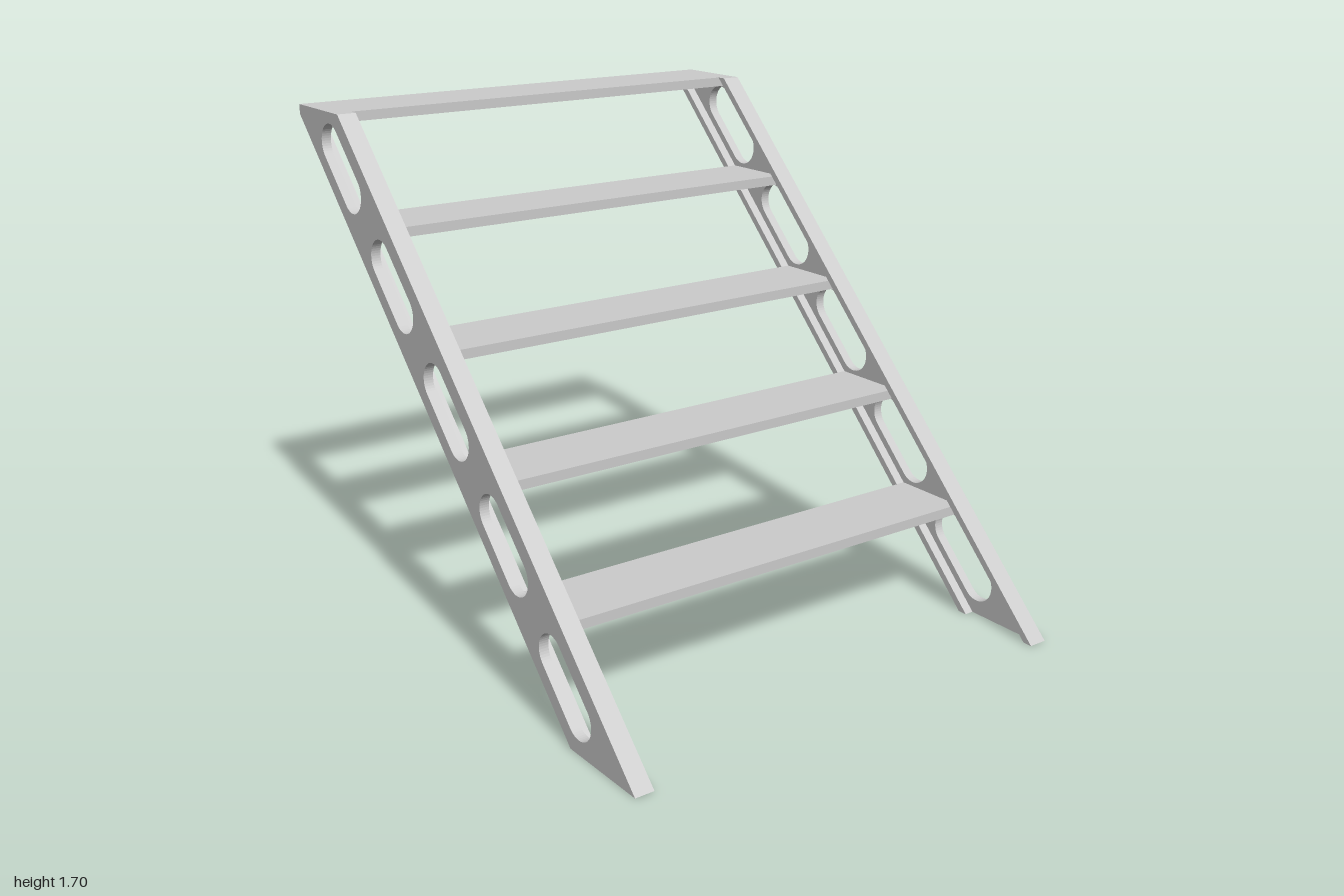
import * as THREE from 'three';

const U = 1 / 30;           // plate thickness, the module of the whole staircase
const STEPS = 5;
const RISE = 10 * U;
const HALF_W = 25 * U;      // outer half width
const HEIGHT = 51 * U;

const material = new THREE.MeshStandardMaterial({ color: 0xcccccc, flatShading: true });

// Extrudes a side profile (z, y) sideways so that it fills x0..x1
function extrudeAcross(shape, x0, x1) {
  const geometry = new THREE.ExtrudeGeometry(shape, {
    depth: x1 - x0, bevelEnabled: false, curveSegments: 12,
  });
  geometry.rotateY(-Math.PI / 2);
  geometry.translate(x1, 0, 0);
  return geometry;
}

function polygon(points) {
  return new THREE.Shape(points.map(([z, y]) => new THREE.Vector2(z, y)));
}

// Slot with round ends, lying along the 45 degree slope
function slot(z, y, length, r) {
  const path = new THREE.Path();
  path.absarc(z, y, r, Math.PI * 0.25, Math.PI * 1.25, true);
  path.absarc(z - length, y + length, r, Math.PI * 1.25, Math.PI * 0.25, true);
  path.closePath();
  return path;
}

function addMesh(parent, name, geometry) {
  const mesh = new THREE.Mesh(geometry, material);
  mesh.name = name;
  parent.add(mesh);
}

// Channel-section side beam, open towards the steps
function createStringer(side) {
  const group = new THREE.Group();
  group.name = side > 0 ? 'leftStringer' : 'rightStringer';
  const span = (a, b) => (side > 0 ? [a, b] : [-b, -a]);

  // Slotted web
  const web = polygon([
    [1, 0], [1 - HEIGHT, HEIGHT], [-1, HEIGHT], [-1, HEIGHT - U], [20 * U, 0],
  ]);
  for (let i = 0; i < STEPS; i++) {
    web.holes.push(slot(21.4 * U - i * RISE, 3.45 * U + i * RISE, 4.4 * U, 2 * U));
  }
  addMesh(group, 'web', extrudeAcross(web, ...span(HALF_W - U, HALF_W)));

  // Front and rear flanges, turned inward
  const front = polygon([[1, 0], [1 - HEIGHT, HEIGHT], [1 - U - HEIGHT, HEIGHT], [1 - U, 0]]);
  const rear = polygon([[21 * U, 0], [-1, HEIGHT], [-1, HEIGHT - U], [20 * U, 0]]);
  const flangeSpan = span(HALF_W - 2 * U, HALF_W - U);
  addMesh(group, 'frontFlange', extrudeAcross(front, ...flangeSpan));
  addMesh(group, 'rearFlange', extrudeAcross(rear, ...flangeSpan));
  return group;
}

export function createModel() {
  const model = new THREE.Group();
  model.name = 'staircase';
  model.add(createStringer(1), createStringer(-1));

  // Flat treads between the webs
  const depth = 8 * U;
  for (let i = 0; i < STEPS; i++) {
    const top = 11 * U + i * RISE;
    const tread = new THREE.BoxGeometry(2 * (HALF_W - U), U, depth);
    tread.translate(0, top - U / 2, 1 - U - top - depth / 2);
    addMesh(model, `tread${i + 1}`, tread);
  }
  return model;
}
